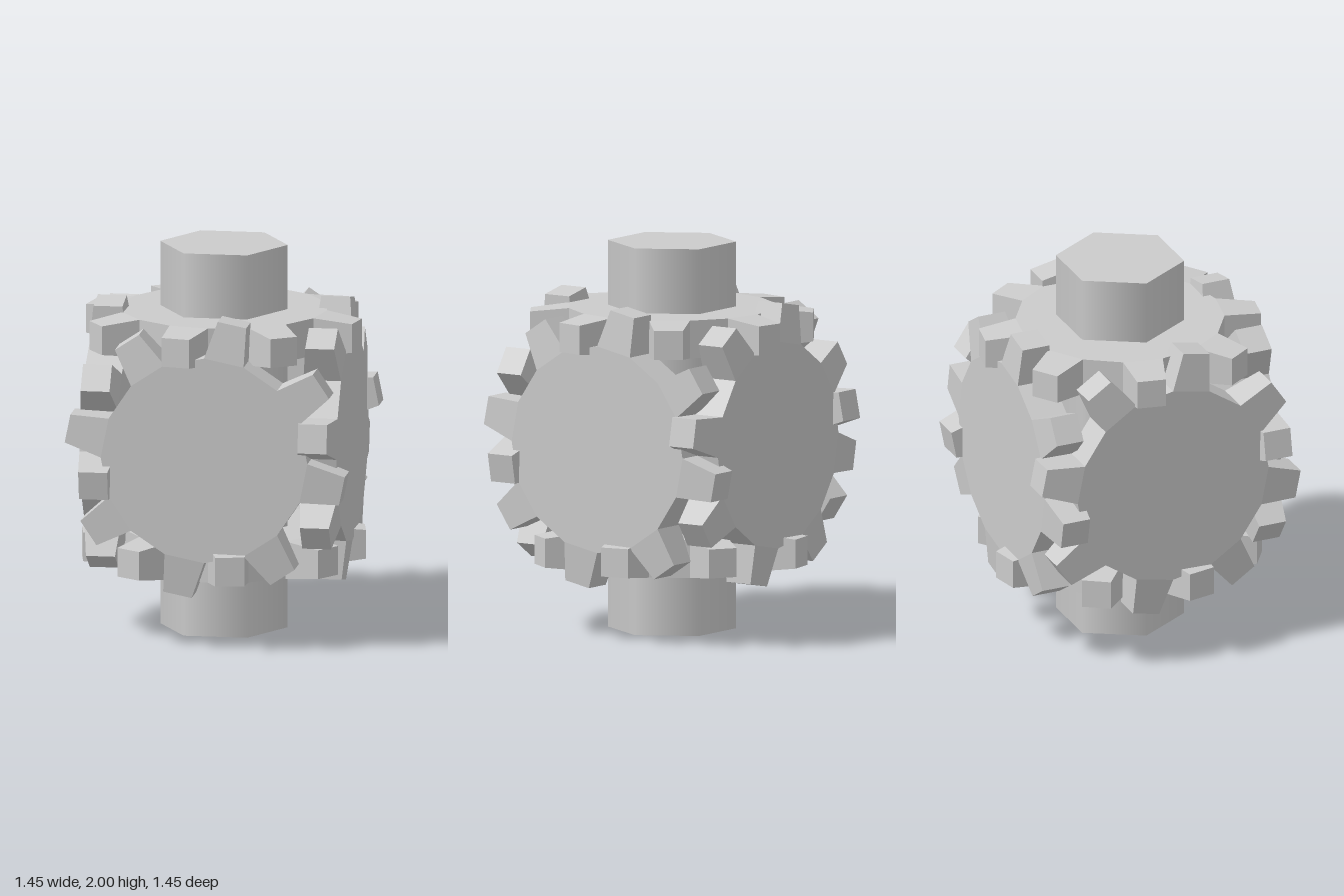
import * as THREE from 'three';

const TEETH = 8;
const BODY_R = 0.535;      // corner radius of the 16-sided gear body
const TIP_R = 0.724;       // distance from gear axis to tooth tips
const INNER = 0.47, OUTER = 0.665; // gear thickness span from the centre
const MID = (INNER + OUTER) / 2;

// Tooth pointing along +y, tapering in width and thickness
function toothGeometry() {
  const half = Math.PI / (2 * TEETH);
  const baseW = 2 * BODY_R * Math.sin(half), baseY = BODY_R * Math.cos(half);
  const tip = 0.15;
  const g = new THREE.BoxGeometry(1, TIP_R - baseY, 1);
  const p = g.attributes.position;
  for (let i = 0; i < p.count; i++) {
    const top = p.getY(i) > 0;
    p.setX(i, p.getX(i) * (top ? tip : baseW));
    p.setZ(i, p.getZ(i) * (top ? tip : OUTER - INNER));
  }
  g.translate(0, (TIP_R + baseY) / 2, 0);
  g.computeVertexNormals();
  return g;
}

export function createModel() {
  const model = new THREE.Group();
  model.name = 'gearCube';
  const flat = new THREE.MeshStandardMaterial({ color: 0xcccccc, flatShading: true });
  const smooth = new THREE.MeshStandardMaterial({ color: 0xcccccc });

  const bodyGeo = new THREE.CylinderGeometry(BODY_R, BODY_R, OUTER - INNER, TEETH * 2);
  bodyGeo.rotateX(Math.PI / 2);
  const toothGeo = toothGeometry();

  // One gear facing +z, pushed out from the centre
  function gear(name, rx, ry) {
    const g = new THREE.Group();
    g.name = name;
    const body = new THREE.Mesh(bodyGeo, flat);
    body.name = 'gearBody';
    body.position.z = MID;
    g.add(body);
    for (let i = 0; i < TEETH; i++) {
      const tooth = new THREE.Mesh(toothGeo, flat);
      tooth.name = 'gearTooth';
      tooth.position.z = MID;
      tooth.rotation.z = (i - 0.25) * (2 * Math.PI / TEETH);
      g.add(tooth);
    }
    g.rotation.set(rx, ry, 0);
    g.position.y = 1;
    model.add(g);
  }

  // Six interlocking gears, one per cube face
  const q = Math.PI / 2;
  ['frontGear', 'leftGear', 'backGear', 'rightGear'].forEach((n, i) => gear(n, 0, i * q));
  gear('topGear', -q, 0);
  gear('bottomGear', q, 0);

  // Hexagonal shaft through the middle
  const shaft = new THREE.Mesh(new THREE.CylinderGeometry(0.33, 0.33, 2, 6), smooth);
  shaft.name = 'hexShaft';
  shaft.rotation.y = q;
  shaft.position.y = 1;
  model.add(shaft);

  return model;
}
